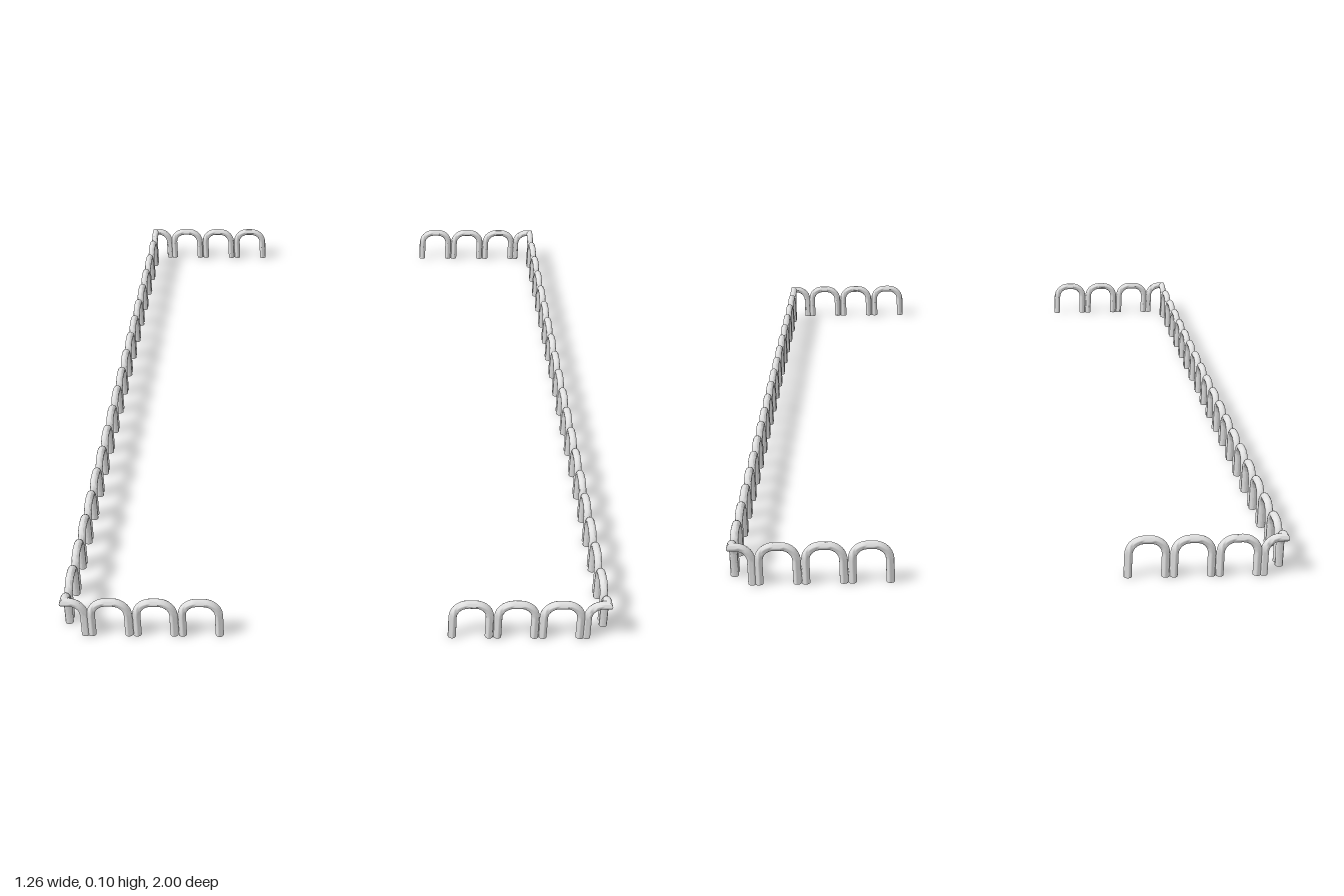
import * as THREE from 'three';
import { toCreasedNormals } from 'three/addons/utils/BufferGeometryUtils.js';

const PITCH = 0.104;         // spacing of the hoops along a run
const R = 0.0095;            // tube radius
const TOP = 0.0905;          // height of the tube centre line
const BEND = 0.035;          // bend radius of the hoop shoulders
const X = 0.6185, Z = 0.9905; // centre lines of the long and short runs
const SIDES = 16, STEPS = 7;

// One bent tube standing in the XY plane; folded turns its right half 90 degrees back
function hoopGeometry(half, folded) {
  const rings = [[-half, 0, Math.PI]];
  for (let i = 0; i <= STEPS; i++) {
    const a = Math.PI - (i / STEPS) * Math.PI / 2;
    rings.push([-half + BEND + BEND * Math.cos(a), TOP - BEND + BEND * Math.sin(a), a]);
  }
  rings.push([0, TOP, Math.PI / 2]);
  const mirrored = rings.slice(0, -1).reverse().map(([x, y, a]) => [-x, y, Math.PI - a]);
  rings.push(...mirrored);

  const place = (s, y, n) => {
    if (!folded) return [s, y, n];
    if (Math.abs(s) < 1e-6) return [n, y, n]; // mitre joint
    return s < 0 ? [s, y, n] : [n, y, -s];
  };
  const pos = [], index = [];
  for (const [x, y, a] of rings) {
    for (let j = 0; j < SIDES; j++) {
      const t = (j / SIDES) * Math.PI * 2, c = R * Math.cos(t);
      pos.push(...place(x + c * Math.cos(a), y + c * Math.sin(a), R * Math.sin(t)));
    }
  }
  const last = rings.length - 1;
  for (let i = 0; i < last; i++) {
    for (let j = 0; j < SIDES; j++) {
      const k = (j + 1) % SIDES, p = i * SIDES, q = p + SIDES;
      index.push(p + j, p + k, q + j, p + k, q + k, q + j);
    }
  }
  // flat feet
  const e = last * SIDES;
  for (let j = 1; j < SIDES - 1; j++) index.push(0, j + 1, j, e, e + j, e + j + 1);

  const geo = new THREE.BufferGeometry();
  geo.setAttribute('position', new THREE.Float32BufferAttribute(pos, 3));
  geo.setIndex(index);
  return toCreasedNormals(geo, 0.8);
}

export function createModel() {
  const model = new THREE.Group();
  model.name = 'hoopEdging';
  const metal = new THREE.MeshStandardMaterial({ color: 0xe0e0e0 });
  metal.name = 'light grey metal';

  const hoop = hoopGeometry(PITCH / 2 - R, false);
  const corner = hoopGeometry(0.044, true);
  const add = (parent, geo, name, x, z, turn) => {
    const mesh = new THREE.Mesh(geo, metal);
    mesh.name = name;
    mesh.position.set(x, 0, z);
    mesh.rotation.y = turn;
    parent.add(mesh);
  };

  for (const sx of [1, -1]) {
    // long side run
    const side = new THREE.Group();
    side.name = sx > 0 ? 'leftRun' : 'rightRun';
    for (let i = 0; i < 18; i++) add(side, hoop, 'sideHoop', sx * X, (i - 8.5) * PITCH, Math.PI / 2);
    model.add(side);

    // short end runs, leaving an opening in the middle
    for (const sz of [1, -1]) {
      const end = new THREE.Group();
      end.name = (sz > 0 ? 'front' : 'back') + (sx > 0 ? 'Left' : 'Right') + 'Run';
      for (let i = 0; i < 3; i++) add(end, hoop, 'endHoop', sx * (0.257 + (i + 0.5) * PITCH), sz * Z, 0);
      model.add(end);
    }
  }

  // folded hoops at the four corners
  [[1, 1], [1, -1], [-1, -1], [-1, 1]].forEach(([sx, sz], i) =>
    add(model, corner, 'cornerHoop', sx * X, sz * Z, i * Math.PI / 2));

  return model;
}
